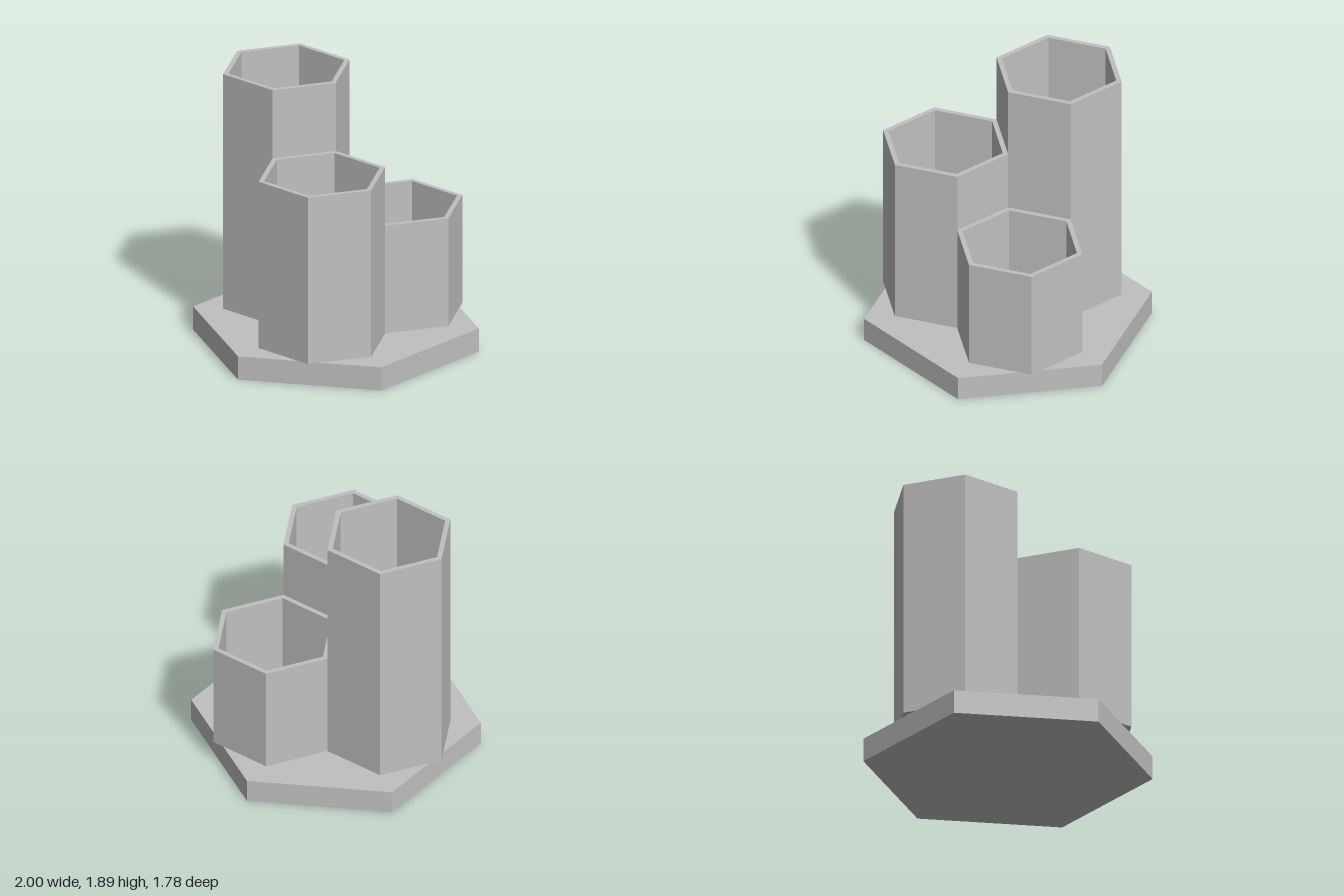
import * as THREE from 'three';

const grey = new THREE.MeshStandardMaterial({ color: 0xc0c0c0 });
grey.name = 'light grey';

const BASE_HEIGHT = 0.17;

// Corners of a regular hexagon, turned by the given angle
function hexagon(radius, turn) {
  return Array.from({ length: 6 }, (_, i) => {
    const a = turn + (i * Math.PI) / 3;
    return new THREE.Vector2(radius * Math.cos(a), radius * Math.sin(a));
  });
}

// Upright prism from a flat shape, standing on y = 0
function prism(name, shape, height) {
  const geometry = new THREE.ExtrudeGeometry(shape, { depth: height, bevelEnabled: false });
  geometry.rotateX(-Math.PI / 2);
  const mesh = new THREE.Mesh(geometry, grey);
  mesh.name = name;
  return mesh;
}

// Open hexagonal tube standing on the base plate
function tube(name, x, z, top) {
  const shape = new THREE.Shape(hexagon(0.455, Math.PI / 6));
  shape.holes.push(new THREE.Path(hexagon(0.416, Math.PI / 6).reverse()));
  const mesh = prism(name, shape, top - BASE_HEIGHT);
  mesh.position.set(x, BASE_HEIGHT, z);
  return mesh;
}

export function createModel() {
  const group = new THREE.Group();
  group.name = 'hexagonTubeHolder';

  // Base plate
  const base = prism('basePlate', new THREE.Shape(hexagon(1, 0)), BASE_HEIGHT);
  base.position.z = 0.023;
  group.add(base);

  // Three tubes of different heights, wall to wall
  group.add(
    tube('tallBackTube', 0, -0.434, 1.89),
    tube('mediumRightTube', -0.394, 0.249, 1.39),
    tube('shortLeftTube', 0.394, 0.249, 0.96),
  );
  return group;
}
